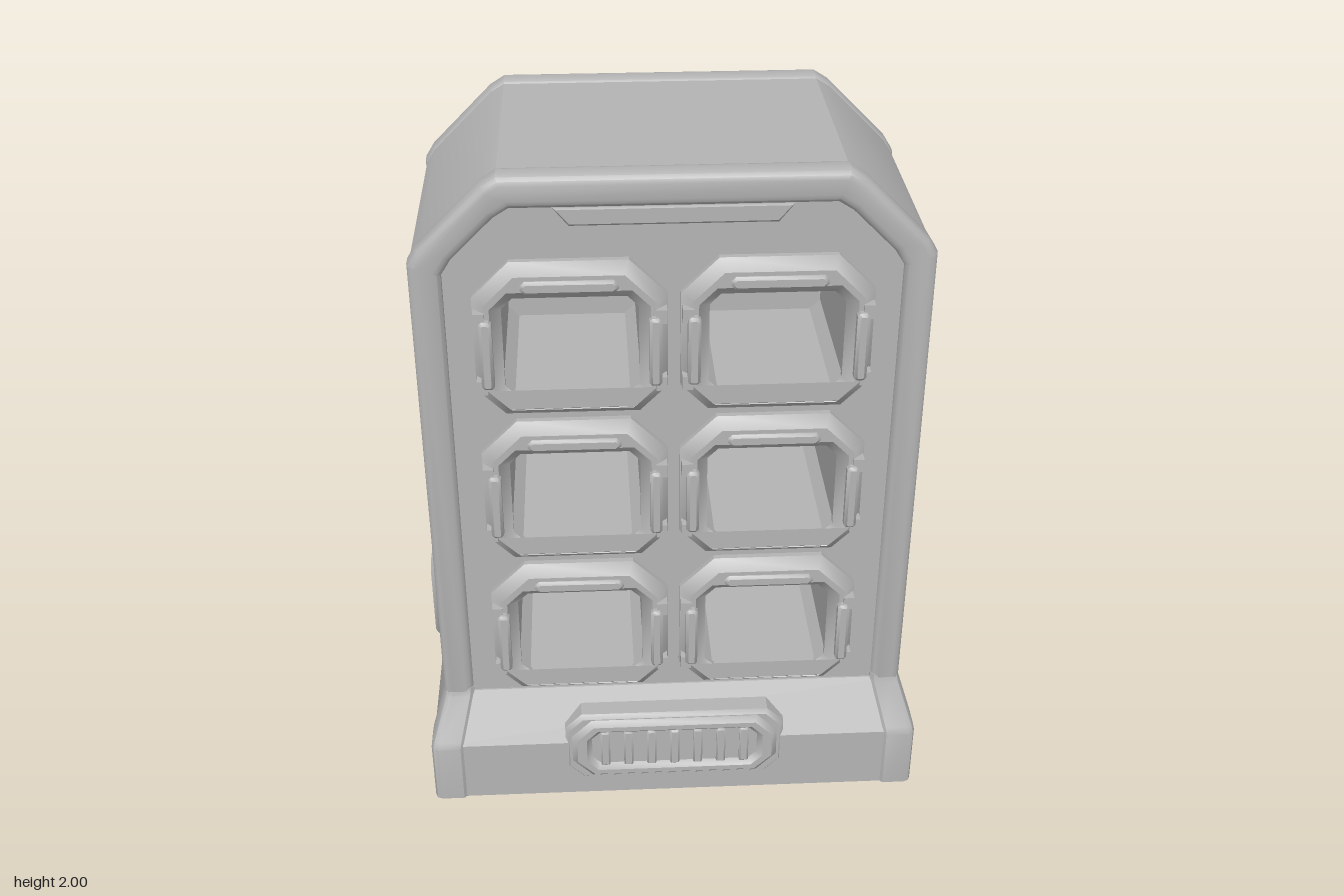
import * as THREE from 'three';
import { toCreasedNormals } from 'three/addons/utils/BufferGeometryUtils.js';

const grey = new THREE.MeshStandardMaterial({ color: 0xb4b4b4 });
grey.name = 'grey casing';

const shapeOf = pts => new THREE.Shape(pts.map(p => new THREE.Vector2(p[0], p[1])));

// Rectangle with cut corners (separate cuts for top and bottom)
function oct(cx, cy, w, h, ct, cb = ct) {
  const x = w / 2, y = h / 2;
  return [
    [-x + cb, -y], [x - cb, -y], [x, -y + cb], [x, y - ct],
    [x - ct, y], [-x + ct, y], [-x, y - ct], [-x, -y + cb],
  ].map(p => [p[0] + cx, p[1] + cy]);
}

// Arch outline with softened sloping shoulders, from lower right to lower left
function arch(w, top, cut, y0, r = 0.025) {
  const half = [
    [w, y0], [w, top - cut], [w - r, top - cut + r * 1.6],
    [w - cut + r * 1.6, top - r], [w - cut, top],
  ];
  return [...half, ...half.map(p => [-p[0], p[1]]).reverse()];
}

// Bevelled plate between two depths, with optional holes
function slab(pts, z0, z1, bevel = 0, holes = [], segments = 1) {
  const shape = shapeOf(pts);
  shape.holes = holes.map(h => new THREE.Path(h.map(p => new THREE.Vector2(p[0], p[1]))));
  const g = new THREE.ExtrudeGeometry(shape, {
    depth: z1 - z0 - 2 * bevel, bevelEnabled: bevel > 0, bevelThickness: bevel,
    bevelSize: bevel, bevelOffset: -bevel, bevelSegments: segments,
  });
  g.translate(0, 0, z0 + bevel);
  return toCreasedNormals(g, 0.55);
}

// Solid through stacked cross-sections: [y, [[x, z], ...]]
function loft(levels) {
  const n = levels[0][1].length, pos = [], idx = [];
  levels.forEach(([y, ring]) => ring.forEach(p => pos.push(p[0], y, p[1])));
  for (let l = 0; l < levels.length - 1; l++)
    for (let i = 0; i < n; i++) {
      const a = l * n + i, b = l * n + (i + 1) % n;
      idx.push(a, a + n, b, b, a + n, b + n);
    }
  const t = (levels.length - 1) * n;
  for (let i = 1; i < n - 1; i++) idx.push(0, i, i + 1, t, t + i + 1, t + i);
  const g = new THREE.BufferGeometry();
  g.setAttribute('position', new THREE.Float32BufferAttribute(pos, 3));
  g.setIndex(idx);
  return toCreasedNormals(g, 0.5);
}

function add(parent, name, geometry) {
  const m = new THREE.Mesh(geometry, grey);
  m.name = name;
  parent.add(m);
  return m;
}

function box(parent, name, w, h, d, x, y, z) {
  return add(parent, name, new THREE.BoxGeometry(w, h, d).translate(x, y, z));
}

function buildBase(body) {
  const rect = (x, z) => [[-x, -z], [x, -z], [x, z], [-x, z]];
  add(body, 'baseBlock', loft([
    [0, rect(0.728, 0.472)], [0.2, rect(0.728, 0.472)], [0.345, rect(0.682, 0.383)],
  ]));
  // Flared corner posts
  for (const sx of [-1, 1]) for (const sz of [-1, 1]) {
    const ring = (x, z, w) => {
      const c = 0.022, e = 0.012;
      const r = [
        [x - w, z - w], [x - e, z - w], [x, z - w + e], [x, z - c],
        [x - c * 0.3, z - c * 0.3], [x - c, z], [x - w + e, z], [x - w, z - e],
      ].map(p => [p[0] * sx, p[1] * sz]);
      return sx * sz < 0 ? r.reverse() : r;
    };
    add(body, 'cornerPost', loft([
      [0, ring(0.735, 0.48, 0.1)], [0.195, ring(0.735, 0.48, 0.1)],
      [0.215, ring(0.731, 0.472, 0.099)], [0.335, ring(0.692, 0.398, 0.091)],
      [0.36, ring(0.687, 0.393, 0.088)],
    ]));
  }
}

function buildShell(body, cells) {
  // Roof strip
  const outer = arch(0.685, 1.992, 0.235, 1.7), inner = arch(0.64, 1.94, 0.21, 1.7);
  add(body, 'roof', slab([...outer, ...inner.reverse()], -0.33, 0.33));
  // Raised rims at front and back
  const rim = [...arch(0.69, 2, 0.24, 0.3), ...arch(0.6, 1.91, 0.18, 0.3).reverse()];
  add(body, 'frontRim', slab(rim, 0.31, 0.395, 0.025, [], 3));
  add(body, 'backRim', slab(rim, -0.395, -0.31, 0.025, [], 3));
  // Inset panels
  const panel = arch(0.62, 1.93, 0.19, 0.25);
  add(body, 'backPanel', slab(panel, -0.38, -0.33));
  add(body, 'frontPanel', slab(panel, 0.33, 0.378, 0,
    cells.map(([x, y]) => oct(x, y - 0.024, 0.37, 0.3, 0.03))));
  add(body, 'topTrim', slab([[-0.27, 1.86], [0.27, 1.86], [0.31, 1.91], [-0.31, 1.91]],
    0.37, 0.386, 0.006));
}

function buildCell(body, x, y) {
  const cell = new THREE.Group();
  cell.name = 'cell';
  cell.position.set(x, y, 0);
  body.add(cell);
  const mouth = oct(0, -0.024, 0.37, 0.3, 0.03);
  add(cell, 'cellFrame', slab(oct(0, 0, 0.512, 0.45, 0.1, 0.075), 0.35, 0.427, 0.03,
    [oct(0, -0.024, 0.36, 0.29, 0.03)]));
  add(cell, 'cellWalls', slab(oct(0, -0.024, 0.4, 0.33, 0.03), -0.08, 0.376, 0, [mouth]));
  add(cell, 'cellBack', slab(oct(0, -0.024, 0.4, 0.33, 0.03), -0.1, -0.08));
  add(cell, 'cellTopBar', slab(oct(0, 0.165, 0.255, 0.037, 0.012), 0.41, 0.437, 0.008));
  // Side clips with end tabs
  for (const s of [-1, 1]) {
    add(cell, 'cellClip', slab(oct(s * 0.222, -0.025, 0.034, 0.2, 0.008), 0.38, 0.45, 0.008));
    for (const e of [-1, 1])
      box(cell, 'clipTab', 0.03, 0.04, 0.06, s * 0.238, -0.025 + e * 0.1, 0.405);
  }
}

function buildSide(body, s) {
  const side = new THREE.Group();
  side.name = s > 0 ? 'leftSide' : 'rightSide';
  side.rotation.y = s * Math.PI / 2;
  body.add(side);
  const slotY = [1.265, 1.127, 0.99];
  const pill = oct(-s * 0.125, 1.272, 0.2, 0.73, 0.05);
  const slots = slotY.map(y => oct(s * 0.145, y, 0.205, 0.058, 0.018));
  // Wall with a long recess and three slots
  const wall = [[-0.33, 0.3], [0.33, 0.3], [0.33, 1.76], [-0.33, 1.76]];
  add(side, 'sideWall', slab(wall, 0.62, 0.685, 0.014, [pill, ...slots]));
  add(side, 'longRecess', slab(oct(-s * 0.125, 1.272, 0.22, 0.75, 0.05), 0.62, 0.645));
  add(side, 'longInsert', slab(oct(-s * 0.125, 1.272, 0.178, 0.7, 0.045), 0.63, 0.667, 0.01));
  for (const y of slotY) box(side, 'slotFloor', 0.23, 0.08, 0.02, s * 0.145, y, 0.64);
  // Louvred grille
  add(side, 'sideGrilleFrame', slab(oct(0, 0.562, 0.47, 0.295, 0.035), 0.66, 0.718, 0.014,
    [oct(0, 0.562, 0.39, 0.215, 0.015)]));
  for (let i = 0; i < 5; i++)
    add(side, 'sideLouvre', slab(oct(0, 0.478 + i * 0.043, 0.4, 0.03, 0.004), 0.67, 0.71, 0.006));
}

function buildFrontVent(body) {
  const y = 0.18;
  add(body, 'ventBacking', slab(oct(0, y, 0.66, 0.245, 0.05), 0.39, 0.475, 0.012));
  add(body, 'ventFrame', slab(oct(0, y, 0.62, 0.215, 0.06), 0.4, 0.491, 0.016,
    [oct(0, y, 0.5, 0.12, 0.025)]));
  for (let i = -3; i <= 3; i++)
    add(body, 'ventBar', slab(oct(i * 0.07, y, 0.028, 0.13, 0.004), 0.46, 0.486, 0.005));
}

export function createModel() {
  const model = new THREE.Group();
  model.name = 'cabinet';
  const cells = [];
  for (const x of [-0.273, 0.273]) for (const y of [1.545, 1.068, 0.591]) cells.push([x, y]);
  buildBase(model);
  buildShell(model, cells);
  cells.forEach(([x, y]) => buildCell(model, x, y));
  buildSide(model, 1);
  buildSide(model, -1);
  buildFrontVent(model);
  model.position.z = -0.004;
  return model;
}
